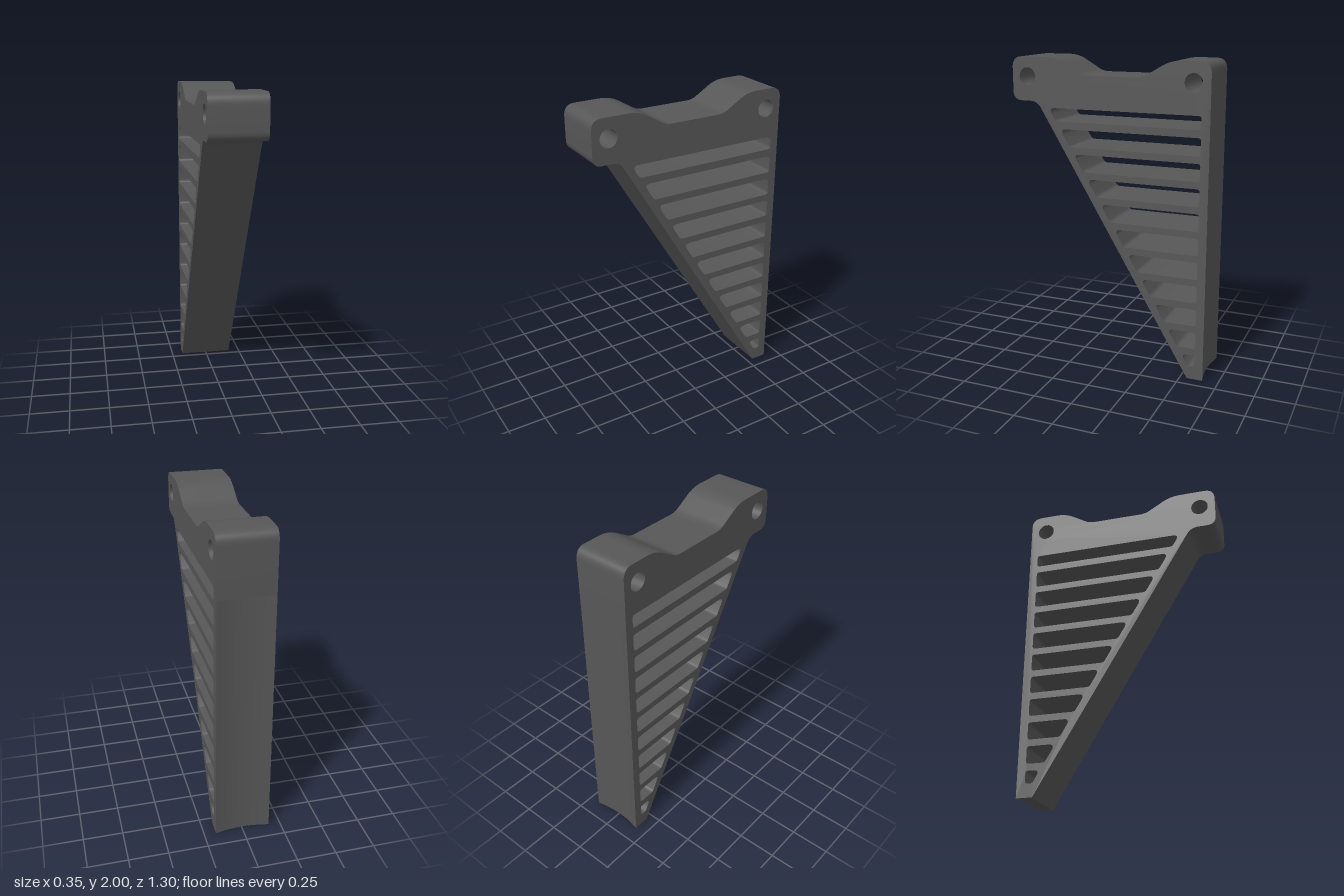
import * as THREE from 'three';
import { toCreasedNormals } from 'three/addons/utils/BufferGeometryUtils.js';

const WIDTH = 0.35;        // thickness of the bracket along x
const BACK = 0.649;        // distance of the back face behind the centre
const GROOVE_TOP = 1.62;
const GROOVE_DEPTH = 0.022;

// Traces a closed polygon of [u, y, radius] corners, rounding each one.
function roundedPolygon(path, corners) {
  const n = corners.length;
  corners.forEach(([u, y, r], i) => {
    const p = new THREE.Vector2(u, y);
    const a = new THREE.Vector2(...corners[(i + n - 1) % n]).sub(p).normalize();
    const b = new THREE.Vector2(...corners[(i + 1) % n]).sub(p).normalize();
    const t = r ? r / Math.tan(Math.acos(THREE.MathUtils.clamp(a.dot(b), -1, 1)) / 2) : 0;
    const start = a.multiplyScalar(t).add(p);
    const end = b.multiplyScalar(t).add(p);
    if (i === 0) path.moveTo(start.x, start.y);
    else path.lineTo(start.x, start.y);
    if (r) path.quadraticCurveTo(u, y, end.x, end.y);
  });
  path.closePath();
  return path;
}

// Sloping front edge of the bracket at height y (u points to the back).
const slope = (y) => 0.545 - y * (1.005 / 1.69);

function createProfile() {
  const shape = roundedPolygon(new THREE.Shape(), [
    [slope(0), 0, 0],
    [BACK, 0, 0],
    [BACK, GROOVE_TOP - 0.001, 0],
    [BACK, GROOVE_TOP, 0],
    [BACK, 2, 0.07],
    [0.4, 2, 0.24],
    [0.225, 1.895, 0.13],
    [-0.172, 1.895, 0.13],
    [-0.35, 2, 0.24],
    [-0.649, 2, 0.07],
    [-0.649, 1.725, 0.06],
    [slope(1.725), 1.725, 0.088],
  ]);

  // Bolt holes
  for (const u of [-0.545, 0.543]) {
    shape.holes.push(new THREE.Path().absarc(u, 1.877, 0.056, 0, Math.PI * 2, true));
  }

  // Slots between the ribs; the first and last are shorter
  const slots = [[1.603, 1.686]];
  for (let i = 0; i < 10; i++) {
    const top = 1.556 - i * 0.1545;
    slots.push([i === 9 ? 0.085 : top - 0.111, top]);
  }
  for (const [bottom, top] of slots) {
    shape.holes.push(roundedPolygon(new THREE.Path(), [
      [slope(bottom) + 0.055, bottom, 0.03],
      [slope(top) + 0.055, top, 0.026],
      [0.596, top, 0.018],
      [0.596, bottom, 0.02],
    ]));
  }
  return shape;
}

export function createModel() {
  const group = new THREE.Group();
  group.name = 'ribbedBracket';

  const geometry = new THREE.ExtrudeGeometry(createProfile(), {
    depth: WIDTH, steps: 16, bevelEnabled: false, curveSegments: 10,
  });
  geometry.translate(0, 0, -WIDTH / 2);
  geometry.rotateY(Math.PI / 2);

  // Hollow the lower back face into a shallow concave groove
  const pos = geometry.attributes.position;
  for (let i = 0; i < pos.count; i++) {
    if (pos.getZ(i) < -BACK + 0.001 && pos.getY(i) < GROOVE_TOP - 0.0005) {
      const s = pos.getX(i) / (WIDTH / 2);
      pos.setZ(i, -BACK + GROOVE_DEPTH * (1 - s * s));
    }
  }

  const bracket = new THREE.Mesh(
    toCreasedNormals(geometry, 0.5),
    new THREE.MeshStandardMaterial({ color: 0x575757 }),
  );
  bracket.name = 'bracketBody';
  group.add(bracket);
  return group;
}
